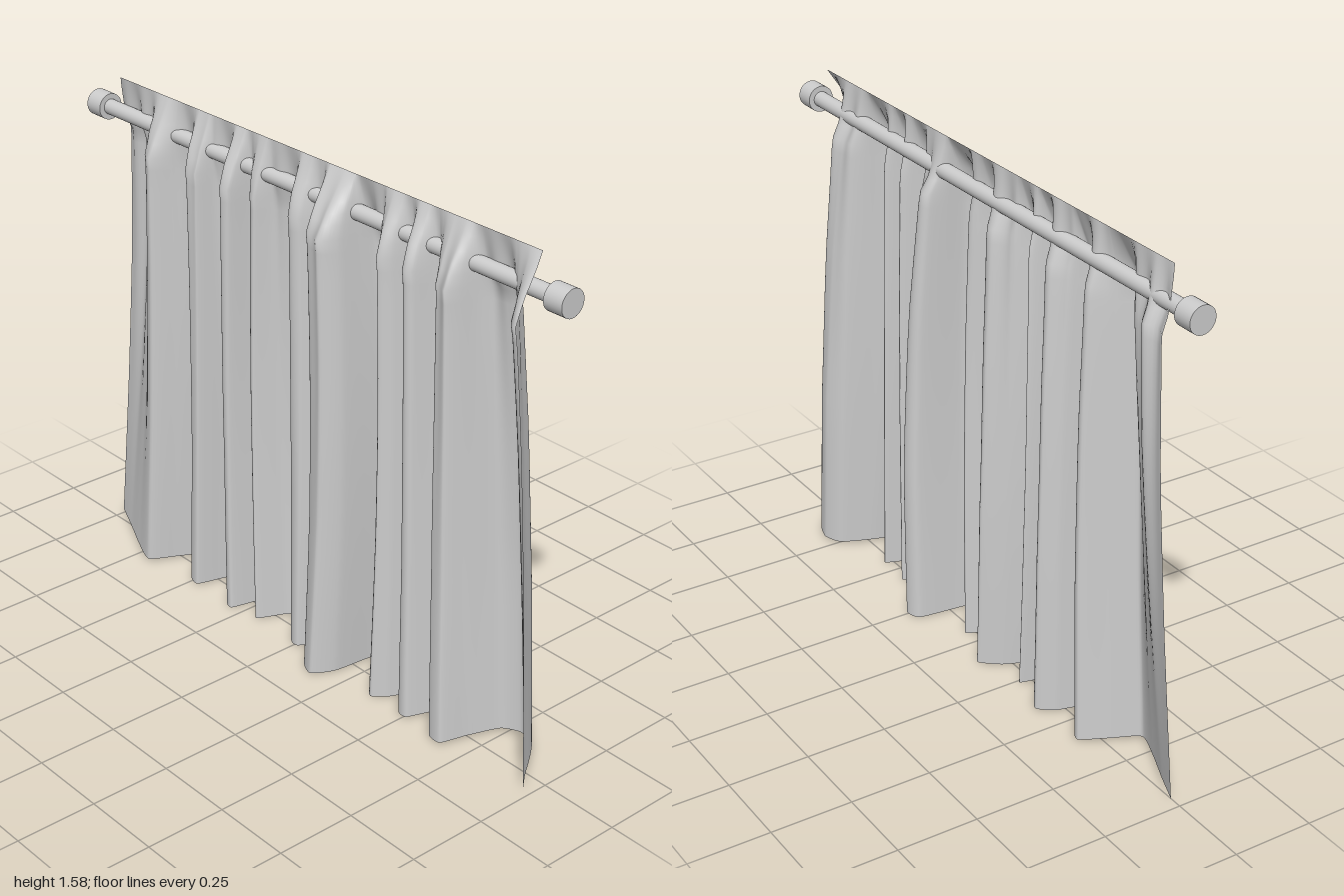
import * as THREE from 'three';

const TOP = 1.575, ROD_Y = 1.467;

// Fold line at the hem as [x, z], from the front end to the back end;
// a third value is the x that the fold turns to near the heading
const FOLDS = [
  [-0.09, 1.0, -0.12], [-0.03, 0.95, -0.11], [0.04, 0.9, -0.02], [0.1, 0.85, 0.08], [0.118, 0.79, 0.11],
  [0.09, 0.735, 0.06], [-0.01, 0.695, -0.05], [-0.09, 0.67], [-0.085, 0.62], [-0.01, 0.58], [0.03, 0.55],
  [-0.07, 0.51], [-0.065, 0.47], [0.035, 0.435], [-0.04, 0.395], [-0.075, 0.36], [-0.05, 0.33],
  [0.04, 0.305], [0.12, 0.26], [0.1, 0.21], [-0.06, 0.19], [-0.13, 0.15], [-0.1, 0.09], [0.03, 0.06],
  [-0.06, 0.01], [-0.05, -0.03], [0.05, -0.06], [0.085, -0.1], [0.03, -0.15], [-0.055, -0.19],
  [-0.03, -0.22], [0.04, -0.26], [-0.075, -0.29], [-0.06, -0.33], [0.05, -0.36], [0.075, -0.4],
  [0.03, -0.44], [-0.07, -0.47], [-0.055, -0.52], [0.045, -0.56], [0.062, -0.6], [-0.02, -0.645],
  [-0.1, -0.69], [-0.065, -0.79, 0.02], [-0.02, -0.89, 0.11], [0.02, -0.985, 0.1],
];

// Piecewise linear lookup in a list of [position, value]
function lookup(table, t) {
  for (let i = 1; i < table.length; i++) {
    const [a, va] = table[i - 1], [b, vb] = table[i];
    if (t <= b) return THREE.MathUtils.mapLinear(t, a, b, va, vb);
  }
  return table[table.length - 1][1];
}

// How deep the folds are at each height, on the +x and the -x side
const DEPTH_POS = [[0, 1], [0.5, 0.96], [1, 0.76], [1.4, 0.46], [1.44, 0.28], [1.5, 0.16], [TOP, 0]];
const DEPTH_NEG = [[0, 1], [0.5, 0.88], [1, 0.85], [1.4, 0.88], [TOP, 0]];
// The heading is drawn back a little behind the rod
const SETBACK = [[0, 0], [1.36, 0], [1.47, -0.007], [TOP, 0]];
// Fine gathers, strongest at the rod
const GATHER = [[0, 0], [0.5, 0.001], [1.28, 0.007], [1.45, 0.01], [TOP, 0]];
const ROWS = [0, 0.13, 0.26, 0.39, 0.52, 0.65, 0.78, 0.91, 1.04, 1.17, 1.28, 1.36, 1.4, 1.44, 1.47, 1.5, 1.54, TOP];

function curtainGeometry() {
  // y of the curve carries the heading x; low tension keeps the folds crisp
  const points = FOLDS.map(([x, z, headX = x]) => new THREE.Vector3(x, headX, z));
  const curve = new THREE.CatmullRomCurve3(points, false, 'catmullrom', 0.28);
  const columns = (FOLDS.length - 1) * 8, line = curve.getPoints(columns);
  const geometry = new THREE.PlaneGeometry(1, 1, columns, ROWS.length - 1);
  const pos = geometry.attributes.position;
  for (let r = 0; r < ROWS.length; r++) {
    const y = ROWS[ROWS.length - 1 - r], h = y / TOP;
    const shrink = 0.11 * (1 - Math.pow(1 - h, 0.7));
    for (let c = 0; c <= columns; c++) {
      const p = line[c];
      const fold = THREE.MathUtils.lerp(p.x, p.y, h);
      const x = fold * lookup(fold > 0 ? DEPTH_POS : DEPTH_NEG, y)
        + lookup(SETBACK, y) + lookup(GATHER, y) * Math.sin(p.z * 62);
      // folds lean slightly as they fall, and the hem rises at both ends
      const lean = 0.02 * Math.sin(p.z * 7) * Math.sin(h * Math.PI) * (1 - p.z * p.z);
      const lift = 0.025 * Math.pow(Math.abs(p.z), 3) * (1 - h);
      pos.setXYZ(r * (columns + 1) + c, x, y + lift, p.z * (1 - shrink * Math.abs(p.z)) + lean);
    }
  }
  geometry.computeVertexNormals();
  return geometry;
}

export function createModel() {
  const group = new THREE.Group();
  const material = new THREE.MeshStandardMaterial({ color: 0xcccccc });
  const cloth = new THREE.MeshStandardMaterial({ color: 0xcccccc, side: THREE.DoubleSide });

  // Hanging cloth
  const curtain = new THREE.Mesh(curtainGeometry(), cloth);
  curtain.name = 'curtain';
  group.add(curtain);

  // Rod and its two end caps, all along z
  const bar = (name, radius, length, z) => {
    const mesh = new THREE.Mesh(new THREE.CylinderGeometry(radius, radius, length, 32), material);
    mesh.name = name;
    mesh.rotation.x = Math.PI / 2;
    mesh.position.set(0, ROD_Y, z);
    group.add(mesh);
  };
  bar('rod', 0.024, 1.9, 0);
  bar('frontEndCap', 0.041, 0.064, 0.968);
  bar('backEndCap', 0.041, 0.064, -0.968);

  return group;
}
